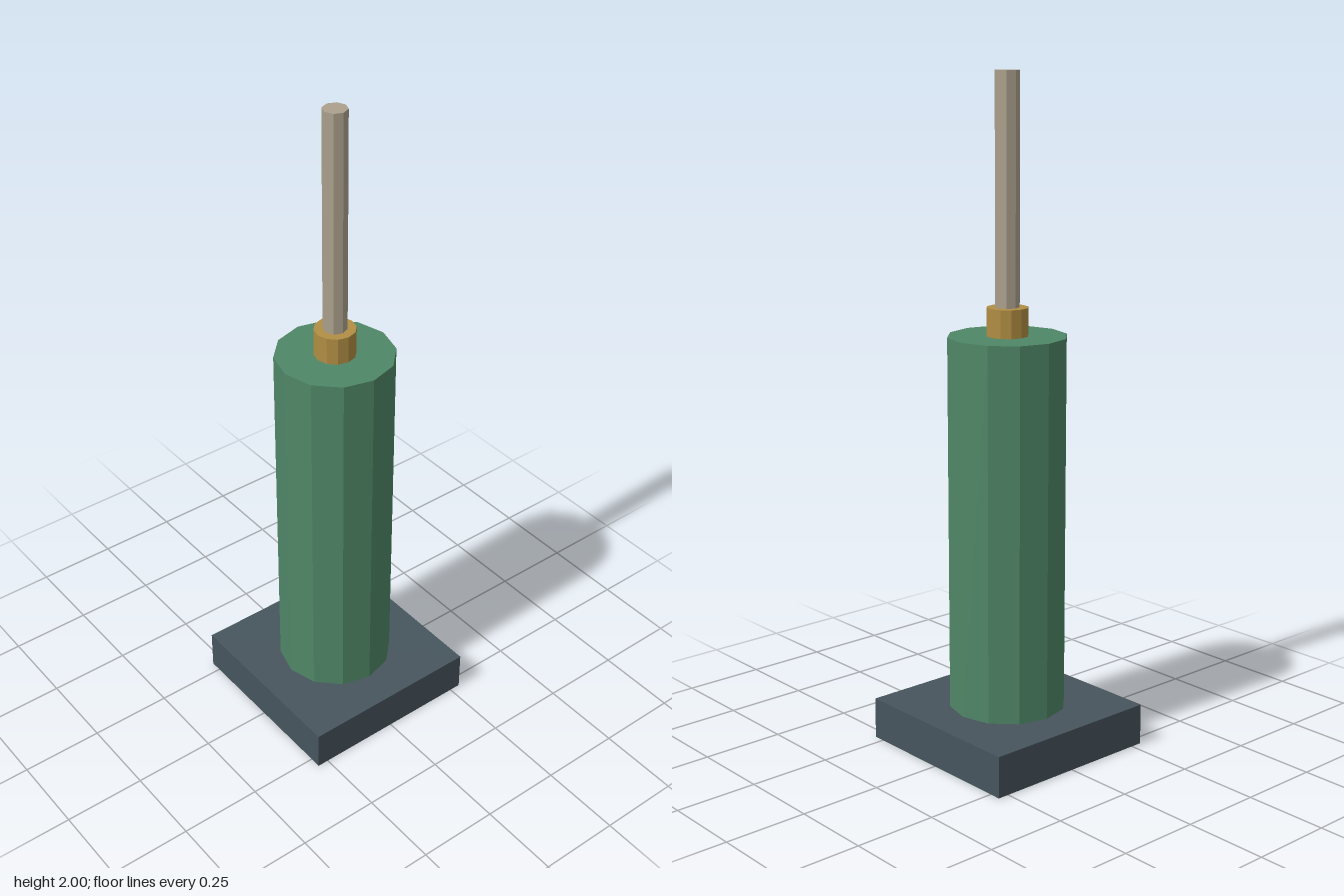
import * as THREE from 'three';

function material(name, color) {
  const m = new THREE.MeshStandardMaterial({ color });
  m.name = name;
  return m;
}

// Flat-sided upright cylinder spanning y0 to y1
function column(name, radius, y0, y1, sides, mat) {
  const geometry = new THREE.CylinderGeometry(radius, radius, y1 - y0, sides).toNonIndexed();
  geometry.computeVertexNormals(); // faceted sides
  const mesh = new THREE.Mesh(geometry, mat);
  mesh.name = name;
  mesh.position.y = (y0 + y1) / 2;
  return mesh;
}

export function createModel() {
  const model = new THREE.Group();
  model.name = 'piston';

  // Square mounting plate
  const base = new THREE.Mesh(
    new THREE.BoxGeometry(0.57, 0.125, 0.57),
    material('slate grey', 0x47555d)
  );
  base.name = 'basePlate';
  base.position.y = 0.0625;

  model.add(
    base,
    // Main barrel, brass collar and sliding rod
    column('barrel', 0.176, 0.125, 1.25, 12, material('green', 0x4f8767)),
    column('collar', 0.0615, 1.25, 1.333, 12, material('brass', 0xb18e43)),
    column('rod', 0.0355, 1.333, 2, 8, material('warm steel', 0xaca18d))
  );
  return model;
}
